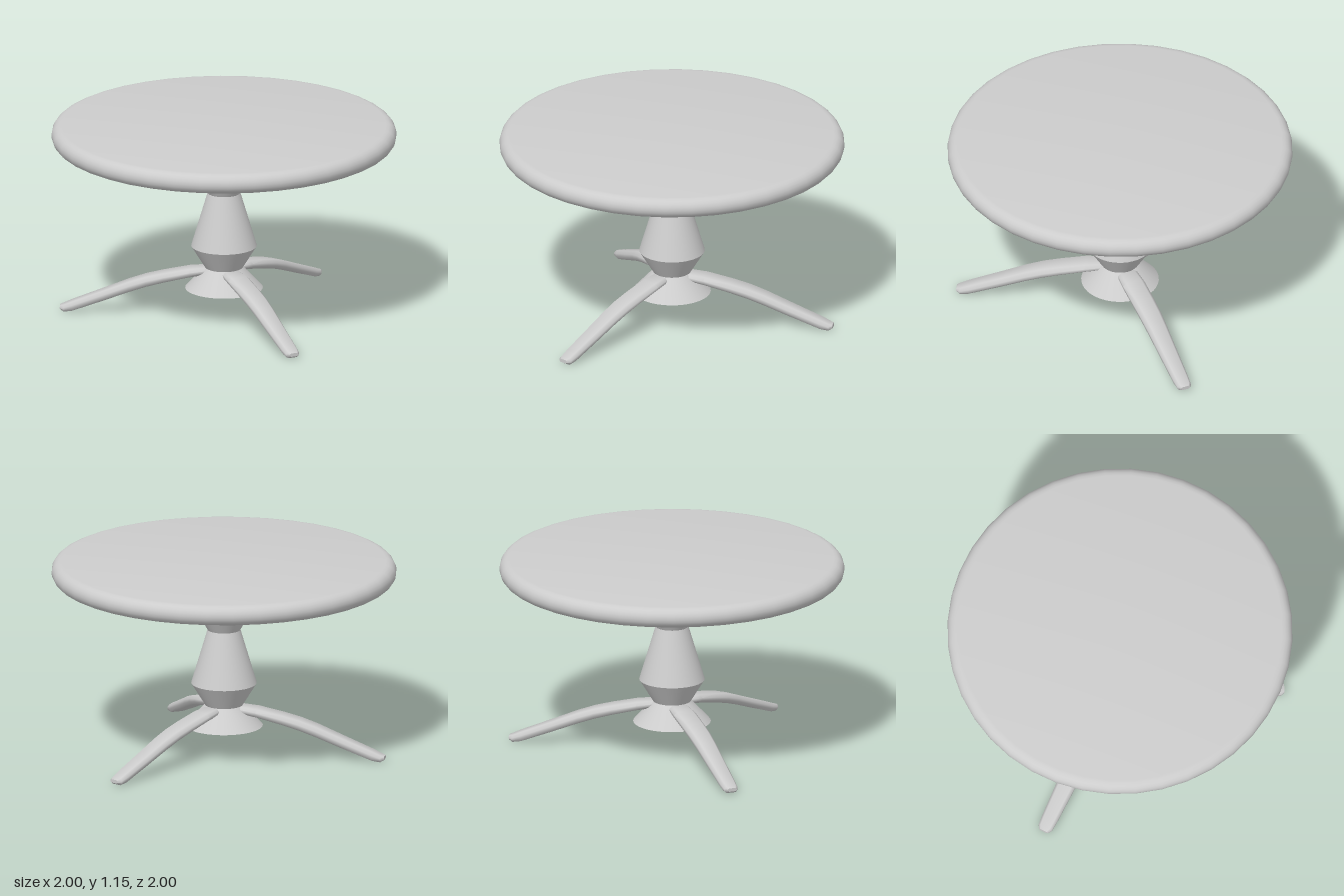
import * as THREE from 'three';
import { toCreasedNormals } from 'three/addons/utils/BufferGeometryUtils.js';

const SEGMENTS = 40;

// Turned part from [radius, height] pairs, bottom to top
function turned(profile, material, name, crease) {
  const points = profile.map(([r, y]) => new THREE.Vector2(r, y));
  const geometry = toCreasedNormals(new THREE.LatheGeometry(points, SEGMENTS), crease);
  const mesh = new THREE.Mesh(geometry, material);
  mesh.name = name;
  return mesh;
}

// Leg running out along +z, lofted through chamfered sections
function legGeometry() {
  const section = [[1, -0.3], [1, 0.3], [0.7, 1], [-0.7, 1], [-1, 0.3], [-1, -0.3], [-0.7, -1], [0.7, -1]];
  // distance out, height, half width, half thickness
  const stations = [
    [0.08, 0.272, 0.04, 0.01],
    [0.11, 0.269, 0.06, 0.021],
    [0.2, 0.257, 0.067, 0.024],
    [0.35, 0.224, 0.066, 0.027],
    [0.45, 0.198, 0.064, 0.029],
    [0.55, 0.164, 0.06, 0.03],
    [0.7, 0.105, 0.054, 0.029],
    [0.88, 0.036, 0.047, 0.027],
    [0.93, 0.021, 0.042, 0.02],
    [0.952, 0.024, 0.028, 0.01],
  ];
  const n = section.length;
  const positions = [];
  const index = [];
  for (const [out, y, w, t] of stations) {
    for (const [a, b] of section) positions.push(a * w, y + b * t, out);
  }
  for (let i = 0; i < stations.length - 1; i++) {
    for (let j = 0; j < n; j++) {
      const a = i * n + j;
      const b = i * n + (j + 1) % n;
      index.push(a, b, a + n, b, b + n, a + n);
    }
  }
  // End caps
  const last = (stations.length - 1) * n;
  for (let j = 1; j < n - 1; j++) {
    index.push(0, j + 1, j);
    index.push(last, last + j, last + j + 1);
  }
  const geometry = new THREE.BufferGeometry();
  geometry.setAttribute('position', new THREE.Float32BufferAttribute(positions, 3));
  geometry.setIndex(index);
  return toCreasedNormals(geometry, 0.9);
}

export function createModel() {
  const group = new THREE.Group();
  group.name = 'roundPedestalTable';
  const grey = new THREE.MeshStandardMaterial({ color: 0xcccccc });
  grey.name = 'light grey';

  // Table top with a bullnose rim
  const rim = [[0, 1.03]];
  const half = 0.06;
  for (let i = 0; i <= 10; i++) {
    const a = -Math.PI / 2 + (i / 10) * Math.PI;
    rim.push([1 - half + half * Math.cos(a), 1.09 + half * Math.sin(a)]);
  }
  rim.push([0, 1.15]);
  group.add(turned(rim, grey, 'tableTop', 0.8));

  // Turned column with flared foot and head
  group.add(turned([
    [0, 0.165], [0.225, 0.165], [0.11, 0.29], [0.19, 0.42], [0.095, 0.74],
    [0.15, 0.835], [0.11, 0.905], [0.185, 0.99], [0, 1.03],
  ], grey, 'column', 0.5));

  // Three legs, two to the front and one to the back
  const geometry = legGeometry();
  const legs = { leftLeg: Math.PI / 3, rightLeg: -Math.PI / 3, backLeg: Math.PI };
  for (const [name, angle] of Object.entries(legs)) {
    const leg = new THREE.Mesh(geometry, grey);
    leg.name = name;
    leg.rotation.y = angle;
    group.add(leg);
  }
  return group;
}
